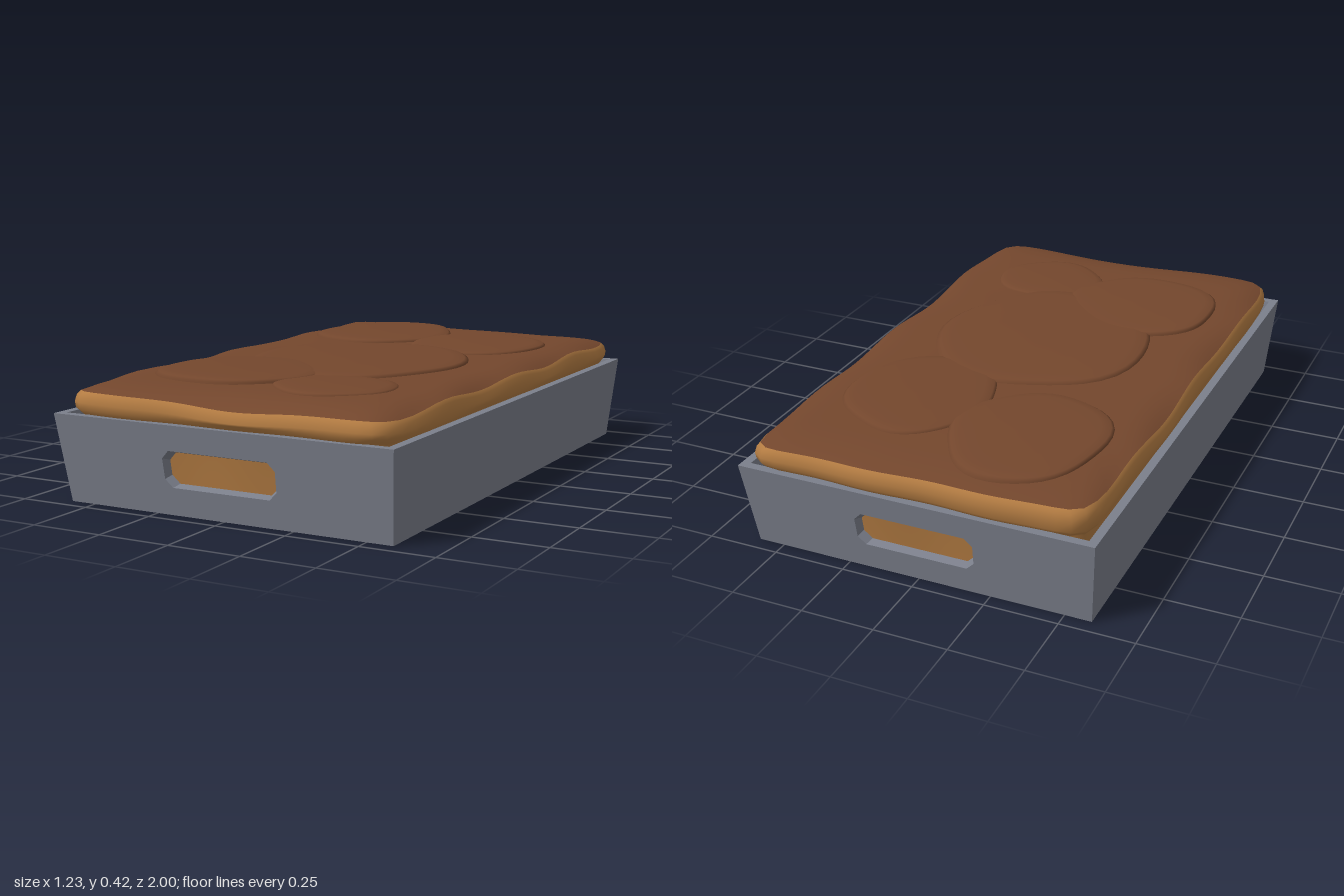
import * as THREE from 'three';

const mat = (name, color, extra = {}) => {
  const m = new THREE.MeshStandardMaterial({ color, ...extra });
  m.name = name;
  return m;
};

// Skin a stack of closed rings, each an array of Vector3
function loft(rings) {
  const n = rings[0].length, idx = [];
  for (let i = 0; i < rings.length - 1; i++) {
    for (let j = 0; j < n; j++) {
      const a = i * n + j, b = i * n + (j + 1) % n;
      idx.push(a, a + n, b, b, a + n, b + n);
    }
  }
  const geo = new THREE.BufferGeometry().setFromPoints(rings.flat());
  geo.setIndex(idx);
  geo.computeVertexNormals();
  return geo;
}

// Move vertices by a rule
function reshape(geo, rule) {
  const p = geo.attributes.position, v = new THREE.Vector3();
  for (let i = 0; i < p.count; i++) {
    rule(v.fromBufferAttribute(p, i));
    p.setXYZ(i, v.x, v.y, v.z);
  }
  geo.computeVertexNormals();
  return geo;
}

// Tray walls lean outward towards the rim
const H = 0.3, W = 0.615, T = 0.03;
const flare = geo => reshape(geo, v => {
  const k = 1 - v.y / H;
  v.x *= 1 - 0.04 * k;
  v.z *= 1 - 0.05 * k;
});

function endWallGeometry() {
  const s = new THREE.Shape([[-W, 0], [W, 0], [W, H], [-W, H]].map(p => new THREE.Vector2(...p)));
  const x = 0.2, lo = 0.102, hi = 0.206, c = 0.027;
  s.holes.push(new THREE.Path([
    [-x, lo + c], [-x, hi - c], [-x + c, hi], [x - c, hi],
    [x, hi - c], [x, lo + c], [x - c, lo], [-x + c, lo],
  ].map(p => new THREE.Vector2(...p))));
  const geo = new THREE.ExtrudeGeometry(s, { depth: T, bevelEnabled: false });
  // Widen the handle slot towards the outside
  reshape(geo, v => {
    if (Math.abs(v.x) < 0.3 && v.z > T / 2) {
      v.x += Math.sign(v.x) * 0.009;
      v.y += Math.sign(v.y - 0.154) * 0.009;
    }
    v.z += 1 - T;
  });
  return flare(geo);
}

// Rounded rectangular outline, evenly spaced in angle
const N = 128;
const ring = (hx, hz, height) => Array.from({ length: N }, (_, j) => {
  const a = j / N * Math.PI * 2, c = Math.cos(a), s = Math.sin(a);
  const r = Math.pow(Math.abs(c) ** 18 + Math.abs(s) ** 18, -1 / 18);
  const x = c * r, z = s * r;
  const wob = 0.004 * Math.sin(9 * x + 7 * z);
  return new THREE.Vector3(x * (hx + wob), height(x, z), z * (hz + wob));
});

// Wavy height of the line where bread meets frosting
const edge = (x, z) => 0.373 + 0.008 * Math.cos(z * 10.8)
  - (z > 0.8 ? 0.014 * Math.exp(-(((x - 0.1) / 0.35) ** 2)) : 0)
  + 0.016 * THREE.MathUtils.smoothstep(-z, 0.75, 0.95) * (0.6 - 0.4 * x)
  - 0.003 * x;

// Flattened puddle of frosting with an irregular outline
function puddleGeometry(cx, cz, rx, rz, top, seed) {
  const profile = [[1, -0.04], [0.995, -0.014], [0.96, -0.007], [0.85, -0.002], [0.5, 0], [0, 0]];
  return loft(profile.map(([u, dy]) => Array.from({ length: 40 }, (_, j) => {
    const a = j / 40 * Math.PI * 2;
    const r = u * (1 + 0.03 * Math.sin(3 * a + seed) + 0.02 * Math.sin(5 * a + seed * 2));
    return new THREE.Vector3(cx + rx * r * Math.cos(a), top + dy, cz + rz * r * Math.sin(a));
  })));
}

export function createModel() {
  const model = new THREE.Group();
  const steel = mat('steel grey', 0x7b7f8b);
  const bread = mat('golden sponge', 0xb57d43);
  const choc = mat('chocolate brown', 0x74472d);
  const add = (name, geo, material, parent = model) => {
    const m = new THREE.Mesh(geo, material);
    m.name = name;
    parent.add(m);
    return m;
  };

  // Tray
  const tray = new THREE.Group();
  tray.name = 'tray';
  model.add(tray);
  add('frontWall', endWallGeometry(), steel, tray);
  add('backWall', endWallGeometry(), steel, tray).rotation.y = Math.PI;
  for (const [name, s] of [['leftWall', 1], ['rightWall', -1]]) {
    const g = new THREE.BoxGeometry(T, H, 2 - 2 * T).translate(s * (W - T / 2), H / 2, 0);
    add(name, flare(g), steel, tray);
  }
  const floor = new THREE.BoxGeometry(2 * (W - T), 0.02, 2 - 2 * T).translate(0, 0.01, 0);
  add('floor', flare(floor), steel, tray);

  // Sponge filling the tray and bulging over the rim
  add('sponge', loft([
    ring(0.545, 0.912, () => 0.022),
    ring(0.57, 0.956, () => 0.28),
    ring(0.582, 0.975, () => 0.3),
    ring(0.592, 0.988, () => 0.316),
    ring(0.594, 0.991, (x, z) => edge(x, z) - 0.035),
    ring(0.588, 0.986, (x, z) => edge(x, z) - 0.012),
    ring(0.578, 0.977, edge),
  ]), bread);

  // Frosting sheet rising from the wavy edge to a flat middle
  const sheet = [[0, 0], [0.02, 0.35], [0.05, 0.7], [0.09, 0.92], [0.15, 1], [0.3, 1], [0.577, 1]];
  add('frosting', loft(sheet.map(([inset, t]) =>
    ring(0.578 - inset, Math.max(0.977 - inset * 1.69, 0.002),
      (x, z) => THREE.MathUtils.lerp(edge(x, z), 0.397, t)))), choc);

  // Frosting puddles
  [
    [-0.23, -0.61, 0.26, 0.305, 0.414, 0.5],
    [0.22, -0.47, 0.25, 0.3, 0.411, 2],
    [0.02, 0.1, 0.385, 0.415, 0.415, 4],
    [-0.21, 0.51, 0.28, 0.27, 0.417, 1],
    [0.21, 0.62, 0.21, 0.185, 0.409, 3],
  ].forEach((p, i) => add('frostingPuddle' + (i + 1), puddleGeometry(...p), choc));

  return model;
}
